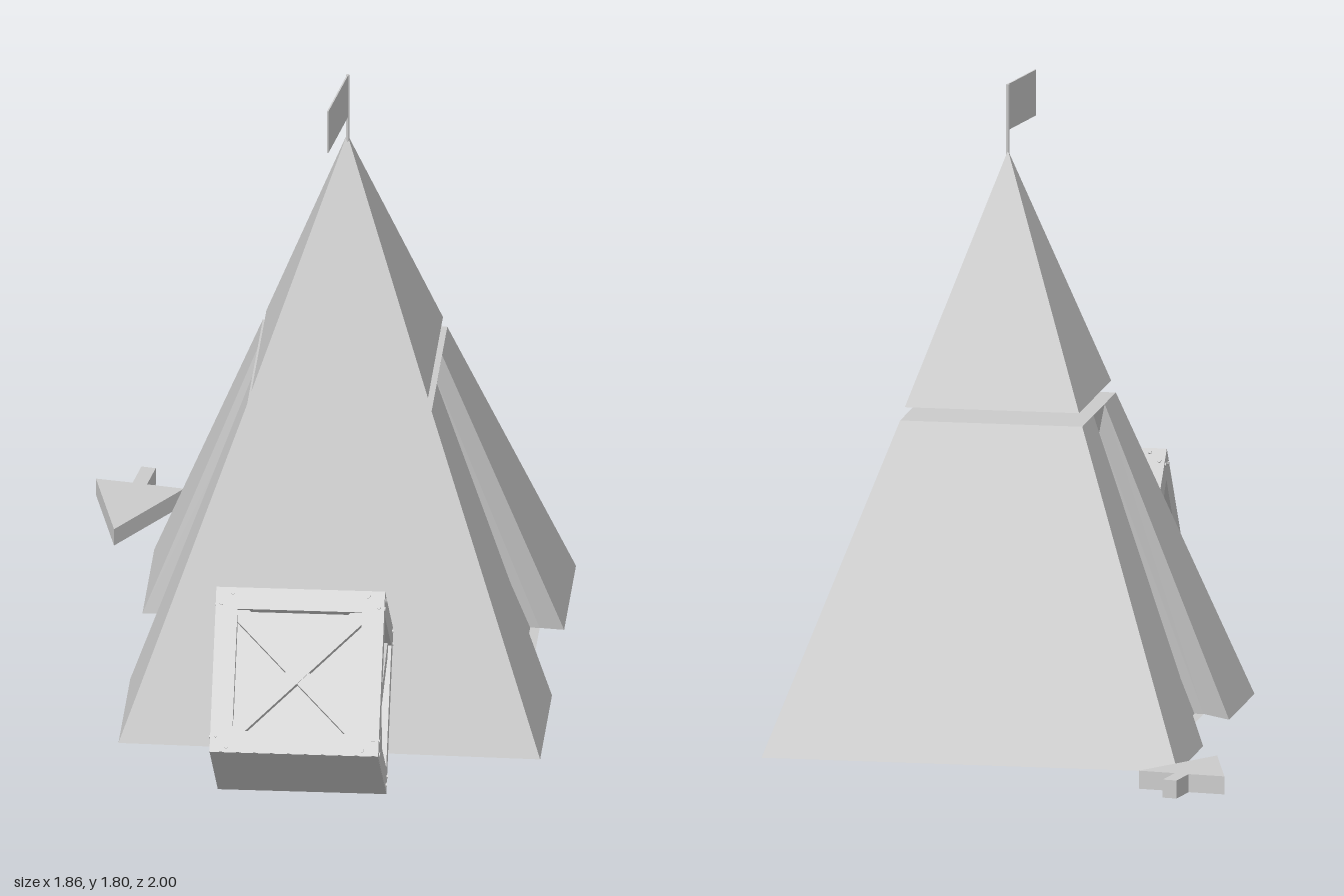
import * as THREE from 'three';

const mat = new THREE.MeshStandardMaterial({ color: 0xcccccc, flatShading: true, side: THREE.DoubleSide });

function add(parent, name, geometry, x = 0, y = 0, z = 0) {
  const mesh = new THREE.Mesh(geometry, mat);
  mesh.name = name;
  mesh.position.set(x, y, z);
  parent.add(mesh);
  return mesh;
}

// flat-shaded sheet made from a list of four-cornered faces
function sheet(quads) {
  const positions = quads.flatMap(([a, b, c, d]) => [a, b, c, a, c, d].flat());
  const geometry = new THREE.BufferGeometry();
  geometry.setAttribute('position', new THREE.Float32BufferAttribute(positions, 3));
  geometry.computeVertexNormals();
  return geometry;
}

const BASE = 0.03, TOP = 0.915; // heights of the lower body
const R0 = 0.576, R1 = 0.252; // its half widths at base and top
const SILL = 0.05, HEAD = 0.84; // heights of the stairway opening

// inner rim of the opening at height y: [half width, distance from the axis]
function rim(y) {
  const t = (y - SILL) / (HEAD - SILL);
  return [THREE.MathUtils.lerp(0.162, 0.07, t), THREE.MathUtils.lerp(0.512, 0.24, t)];
}

// one side of the lower body with its recessed stairway, facing +z
function createStairSide() {
  const g = new THREE.Group();
  g.name = 'stairSide';
  const face = [], frame = [], jambs = [], stairs = [];
  const [w0, d0] = rim(SILL), [w1, d1] = rim(HEAD);
  const level = (w, y, d, d2) => [[-w, y, d], [w, y, d], [w, y, d2], [-w, y, d2]];

  // wall either side of the opening, and the slanted frame around it
  for (const s of [1, -1]) {
    const q = [[s * 0.195, BASE, R0], [s * R0, BASE, R0], [s * R1, TOP, R1], [s * 0.084, TOP, R1]];
    const f = [[s * w0, SILL, d0], q[0], q[3], [s * w1, HEAD, d1]];
    face.push(s > 0 ? q : q.reverse());
    frame.push(s > 0 ? f : f.reverse());
  }
  frame.push([[-w1, HEAD, d1], [w1, HEAD, d1], [0.084, TOP, R1], [-0.084, TOP, R1]]);

  // narrow treads with leaning risers, closed by the jambs
  const RISE = 0.153, TREAD = 0.026, LEAN = 0.056;
  let front = d0;
  for (let i = 0; i < 6; i++) {
    const y = SILL + RISE * i, next = Math.min(y + RISE, HEAD);
    const back = front - TREAD, nextFront = back - LEAN * (next - y) / RISE;
    const [wa, da] = rim(y), [wb, db] = rim(next);
    stairs.push(level(wa, y, front, back));
    stairs.push([[-wa, y, back], [wa, y, back], [wb, next, nextFront], [-wb, next, nextFront]]);
    for (const s of [1, -1]) {
      const q = [[s * wa, y, back], [s * wa, y, da], [s * wb, next, db], [s * wb, next, nextFront]];
      jambs.push(s > 0 ? q : q.reverse());
    }
    front = nextFront;
  }
  jambs.push(level(w1, HEAD, front, d1));

  add(g, 'stairSideWall', sheet(face));
  add(g, 'stairFrame', sheet(frame));
  add(g, 'stairJambs', sheet(jambs));
  add(g, 'stairs', sheet(stairs));
  return g;
}

function createPyramid() {
  const g = new THREE.Group();
  g.name = 'pyramid';

  // hollow lower body: two stair sides, two plain sides, a flat top
  const plain = [[-R0, BASE, R0], [R0, BASE, R0], [R1, TOP, R1], [-R1, TOP, R1]];
  for (const turn of [0, Math.PI]) {
    const side = createStairSide();
    side.rotation.y = turn;
    g.add(side);
    add(g, 'plainSide', sheet([plain])).rotation.y = turn + Math.PI / 2;
  }
  add(g, 'lowerTop', sheet([[[-R1, TOP, R1], [R1, TOP, R1], [R1, TOP, -R1], [-R1, TOP, -R1]]]));

  // floating hollow peak
  const peak = add(g, 'peak', new THREE.ConeGeometry(0.341, 0.675, 4, 1, true), 0, 1.2875, 0);
  peak.rotation.y = Math.PI / 4;

  g.position.set(0.116, 0, 0.147);
  g.rotation.y = 0.69;
  return g;
}

function createFlag() {
  const g = new THREE.Group();
  g.name = 'flag';
  add(g, 'flagPole', new THREE.CylinderGeometry(0.005, 0.005, 0.205, 8), 0, 1.705, 0);
  add(g, 'flagCloth', new THREE.BoxGeometry(0.226, 0.127, 0.004), -0.113, 1.744, 0);
  g.position.set(0.115, 0, 0.15);
  g.rotation.y = 0.53;
  return g;
}

function createCrate() {
  const g = new THREE.Group();
  g.name = 'crate';
  const H = 0.23, W = 0.06, P = 0.195; // half size, frame width, panel depth
  add(g, 'cratePanels', new THREE.BoxGeometry(2 * P, 2 * P, 2 * P));
  add(g, 'crateBottom', new THREE.BoxGeometry(2 * H - 0.002, 0.03, 2 * H - 0.002), 0, -H + 0.014, 0);

  // edge beams: upright ones full length, the others fitted between
  const e = H - W / 2, inner = 2 * (H - W);
  for (const a of [-e, e]) for (const b of [-e, e]) {
    add(g, 'crateBeam', new THREE.BoxGeometry(W, 2 * H, W), a, 0, b);
    add(g, 'crateBeam', new THREE.BoxGeometry(inner, W, W), 0, a, b);
    add(g, 'crateBeam', new THREE.BoxGeometry(W, W, inner), a, b, 0);
  }

  // braces and bolts: crossed on the four sides, a single diagonal on the lid
  const faces = [0, 1, 2, 3].map((i) => [0, i * Math.PI / 2, [-1, 1]]);
  faces.push([-Math.PI / 2, 0, [1]]);
  for (const [rx, ry, diagonals] of faces) {
    const face = new THREE.Group();
    face.name = 'crateFace';
    face.rotation.set(rx, ry, 0);
    for (const s of diagonals) {
      const t = s > 0 ? 0.026 : 0.022;
      const brace = add(face, 'crateBrace', new THREE.BoxGeometry(0.49, 0.045, t), 0, 0, P + t / 2);
      brace.rotation.z = s * Math.PI / 4;
    }
    for (const sx of [-1, 1]) for (const sy of [-1, 1]) for (const [u, v] of [[0.215, 0.185], [0.185, 0.215]]) {
      const bolt = add(face, 'crateBolt', new THREE.CylinderGeometry(0.006, 0.006, 0.006, 6), sx * u, sy * v, H);
      bolt.rotation.x = Math.PI / 2;
    }
    g.add(face);
  }

  g.position.set(-0.535, 0.328, 0.61);
  g.rotation.set(-0.70, -0.86, 0, 'YXZ');
  return g;
}

// flat arrow lying behind the pyramid, outline as [x, z]
function createArrow(parent) {
  const outline = [[0.13, -0.755], [0.31, -1.0], [0.363, -0.912], [0.448, -0.962],
    [0.468, -0.927], [0.383, -0.877], [0.435, -0.787]];
  const shape = new THREE.Shape(outline.map(([x, z]) => new THREE.Vector2(x, -z)));
  const geometry = new THREE.ExtrudeGeometry(shape, { depth: 0.05, bevelEnabled: false });
  geometry.rotateX(-Math.PI / 2);
  add(parent, 'arrow', geometry, 0, 0.032, 0);
}

export function createModel() {
  const model = new THREE.Group();
  model.name = 'pyramidScene';
  model.add(createPyramid(), createFlag(), createCrate());
  createArrow(model);
  return model;
}
